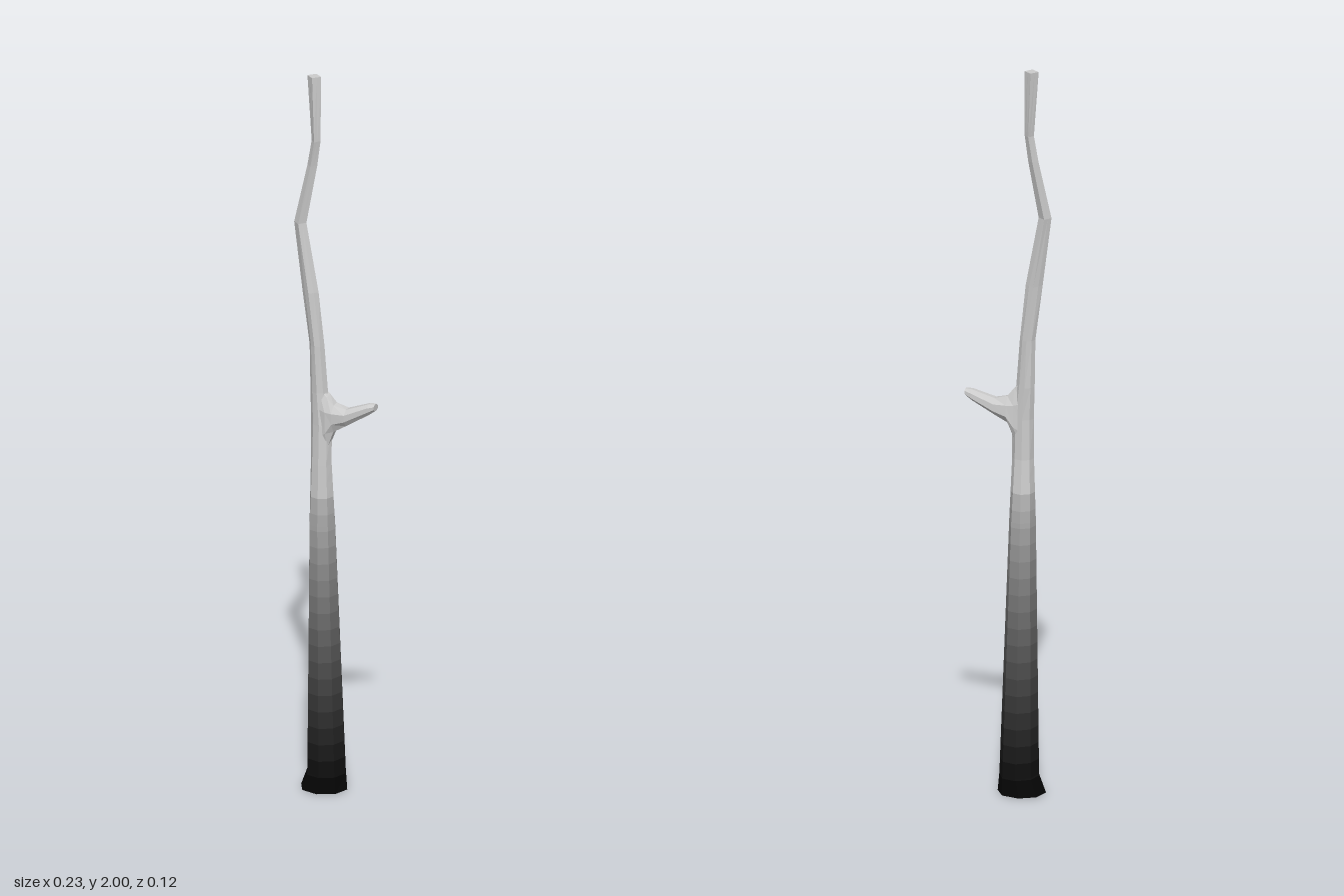
import * as THREE from 'three';

// Eight-sided ring stretched to the extents of a section:
// [w, uMin, uMax, vMin, vMax, bulge]; bulge 0.71 is an octagon, 0.5 a square
function ring([w, u0, u1, v0, v1, bulge], toPoint, phase) {
  const pts = [];
  for (let i = 0; i < 8; i++) {
    const a = phase + (i * Math.PI) / 4;
    const r = i % 2 ? bulge * Math.SQRT2 : 1;
    pts.push([Math.cos(a) * r, Math.sin(a) * r]);
  }
  const mu = Math.max(...pts.map((p) => Math.abs(p[0])));
  const mv = Math.max(...pts.map((p) => Math.abs(p[1])));
  return pts.map(([u, v]) => toPoint(
    (u0 + u1) / 2 + (u / mu) * (u1 - u0) / 2,
    (v0 + v1) / 2 + (v / mv) * (v1 - v0) / 2, w));
}

// Skin a list of rings, with optional end caps
function loft(rings, capStart, capEnd) {
  const pos = [], idx = [], n = 8;
  rings.forEach((r) => r.forEach((p) => pos.push(...p)));
  for (let k = 0; k < rings.length - 1; k++) {
    for (let i = 0; i < n; i++) {
      const a = k * n + i, b = k * n + (i + 1) % n;
      idx.push(a, a + n, b, b, a + n, b + n);
    }
  }
  const last = (rings.length - 1) * n;
  for (let i = 1; i < n - 1; i++) {
    if (capStart) idx.push(0, i, i + 1);
    if (capEnd) idx.push(last, last + i + 1, last + i);
  }
  const geo = new THREE.BufferGeometry();
  geo.setAttribute('position', new THREE.Float32BufferAttribute(pos, 3));
  geo.setIndex(idx);
  geo.computeVertexNormals();
  return geo;
}

// Section at height w, interpolated between its neighbours
function sectionAt(sections, w) {
  let k = 0;
  while (k < sections.length - 2 && sections[k + 1][0] < w) k++;
  const a = sections[k], b = sections[k + 1];
  const t = (w - a[0]) / (b[0] - a[0]);
  return a.map((v, i) => v + (b[i] - v) * t);
}

// Heights with x and z extents, bottom to top
const STEM = [
  [0, -0.108, 0.02, -0.062, 0.06, 0.71],
  [0.05, -0.088, 0.016, -0.058, 0.06, 0.71],
  [0.75, -0.075, -0.005, -0.022, 0.055, 0.71],
  [0.92, -0.068, -0.01, -0.002, 0.05, 0.68],
  [1.03, -0.068, -0.01, 0, 0.046, 0.65],
  [1.12, -0.071, -0.022, 0, 0.043, 0.62],
  [1.25, -0.072, -0.031, 0.004, 0.045, 0.6],
  [1.4, -0.09, -0.045, 0.012, 0.05, 0.55],
  [1.59, -0.114, -0.08, 0.017, 0.05, 0.5],
  [1.75, -0.083, -0.056, 0.003, 0.032, 0.5],
  [1.82, -0.071, -0.047, 0.001, 0.031, 0.5],
  [2, -0.085, -0.047, -0.004, 0.031, 0.5],
];

// Distances along x with z and y extents, root to tip
const BRANCH = [
  [-0.045, 0.006, 0.04, 0.93, 1.14, 0.65],
  [-0.018, 0, 0.045, 0.965, 1.115, 0.65],
  [0, -0.005, 0.043, 1.015, 1.092, 0.65],
  [0.035, -0.006, 0.037, 1.036, 1.083, 0.68],
  [0.095, -0.012, 0.02, 1.073, 1.104, 0.68],
  [0.113, -0.009, 0.014, 1.086, 1.105, 0.68],
];

export function createModel() {
  const model = new THREE.Group();
  model.name = 'bareTree';
  const add = (parent, name, geo, color) => {
    const material = new THREE.MeshStandardMaterial({ color, flatShading: true });
    const mesh = new THREE.Mesh(geo, material);
    mesh.name = name;
    parent.add(mesh);
  };
  const stemRing = (s) => ring(s, (x, z, y) => [x, y, z], -0.16);

  // Trunk in bands that fade from black at the root to grey
  const trunk = new THREE.Group();
  trunk.name = 'trunk';
  model.add(trunk);
  const bands = 20, fadeTop = 0.92;
  for (let i = 0; i < bands; i++) {
    const y0 = (fadeTop * i) / bands, y1 = (fadeTop * (i + 1)) / bands;
    const inner = STEM.filter((s) => s[0] > y0 + 1e-6 && s[0] < y1 - 1e-6);
    const sections = [sectionAt(STEM, y0), ...inner, sectionAt(STEM, y1)];
    const grey = (0.8 * (i + 0.5)) / bands;
    const color = new THREE.Color().setRGB(grey, grey, grey, THREE.SRGBColorSpace);
    add(trunk, 'trunkBand' + (i + 1), loft(sections.map(stemRing), i === 0, false), color);
  }

  // Crooked upper stem
  const upper = STEM.filter((s) => s[0] >= fadeTop);
  add(model, 'upperStem', loft(upper.map(stemRing), false, true), 0xcccccc);

  // Short side branch with a wide root
  const branchRings = BRANCH.map((s) => ring(s, (z, y, x) => [x, y, z], Math.PI / 8));
  add(model, 'sideBranch', loft(branchRings, true, true), 0xcccccc);

  return model;
}
